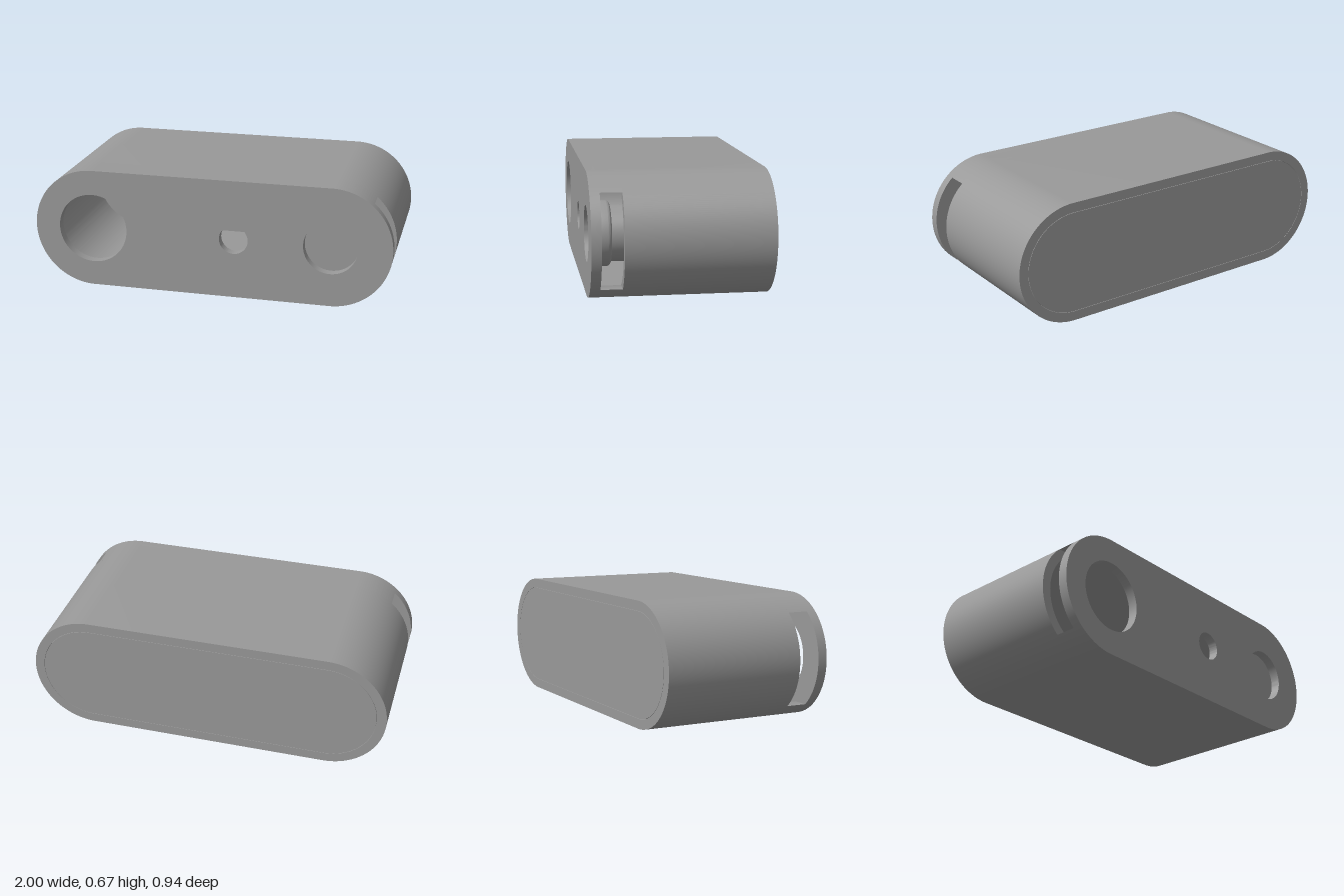
import * as THREE from 'three';
import { toCreasedNormals } from 'three/addons/utils/BufferGeometryUtils.js';

const R = 0.3333, MID = 0.6667, CY = R;      // end radius, end centre x, centre height
const WALL = 0.0525, INNER = R - WALL;       // shell thickness, cavity radius
const BACK = -0.4725, FRONT = 0.4725;
const SLOT_BACK = 0.305, SLOT_FRONT = FRONT - WALL, SLOT_HALF = 0.25;

// Pill outline with rounded ends of radius r
function pill(r, Type = THREE.Shape) {
  const s = new Type();
  s.absarc(MID, 0, r, -Math.PI / 2, Math.PI / 2, false);
  s.absarc(-MID, 0, r, Math.PI / 2, Math.PI * 1.5, false);
  s.closePath();
  return s;
}

// Upper half of the shell ring, cut off where the side slots begin
function slotBand() {
  const a = Math.asin(SLOT_HALF / R), b = Math.asin(SLOT_HALF / INNER);
  const s = new THREE.Shape();
  s.absarc(MID, 0, R, a, Math.PI / 2, false);
  s.absarc(-MID, 0, R, Math.PI / 2, Math.PI - a, false);
  s.absarc(-MID, 0, INNER, Math.PI - b, Math.PI / 2, true);
  s.absarc(MID, 0, INNER, Math.PI / 2, b, true);
  s.closePath();
  return s;
}

export function createModel() {
  const model = new THREE.Group();
  const grey = new THREE.MeshStandardMaterial({ color: 0x999999 });
  grey.name = 'grey';

  function slab(name, shape, z0, z1) {
    const geo = new THREE.ExtrudeGeometry(shape, { depth: z1 - z0, bevelEnabled: false, curveSegments: 48 });
    const mesh = new THREE.Mesh(toCreasedNormals(geo, 0.5), grey);
    mesh.name = name;
    mesh.position.set(0, CY, z0);
    model.add(mesh);
    return mesh;
  }

  // Front wall with three round openings
  const face = pill(R);
  for (const [x, r] of [[-MID, 0.195], [0.135, 0.08], [MID, 0.148]]) {
    const hole = new THREE.Path();
    hole.absarc(x, 0, r, 0, Math.PI * 2, true);
    face.holes.push(hole);
  }
  slab('frontWall', face, SLOT_FRONT, FRONT);

  // Hollow body, open at the back
  const ring = pill(R);
  ring.holes.push(pill(INNER, THREE.Path));
  slab('bodyShell', ring, BACK, SLOT_BACK);

  // Strips above and below the slots in both rounded ends
  slab('upperSlotBand', slotBand(), SLOT_BACK, SLOT_FRONT);
  slab('lowerSlotBand', slotBand(), SLOT_BACK, SLOT_FRONT).rotation.z = Math.PI;

  // Back lid set flush in the shell
  slab('backLid', pill(INNER - 0.002), BACK, BACK + WALL);

  // Flanged button behind the right-hand opening, with a rounded shoulder
  const profile = [[0, 0.25], [0.148, 0.25], [0.148, 0.351]];
  for (let i = 0; i <= 6; i++) {
    const t = (i / 6) * Math.PI / 2;
    profile.push([0.152 + 0.02 * Math.sin(t), 0.371 - 0.02 * Math.cos(t)]);
  }
  profile.push([0.172, SLOT_FRONT], [0, SLOT_FRONT]);
  const lathe = new THREE.LatheGeometry(profile.map(([r, z]) => new THREE.Vector2(r, z)), 64);
  lathe.rotateX(Math.PI / 2);
  const button = new THREE.Mesh(toCreasedNormals(lathe, 0.6), grey);
  button.name = 'flangedButton';
  button.position.set(MID, CY, 0);
  model.add(button);

  return model;
}
